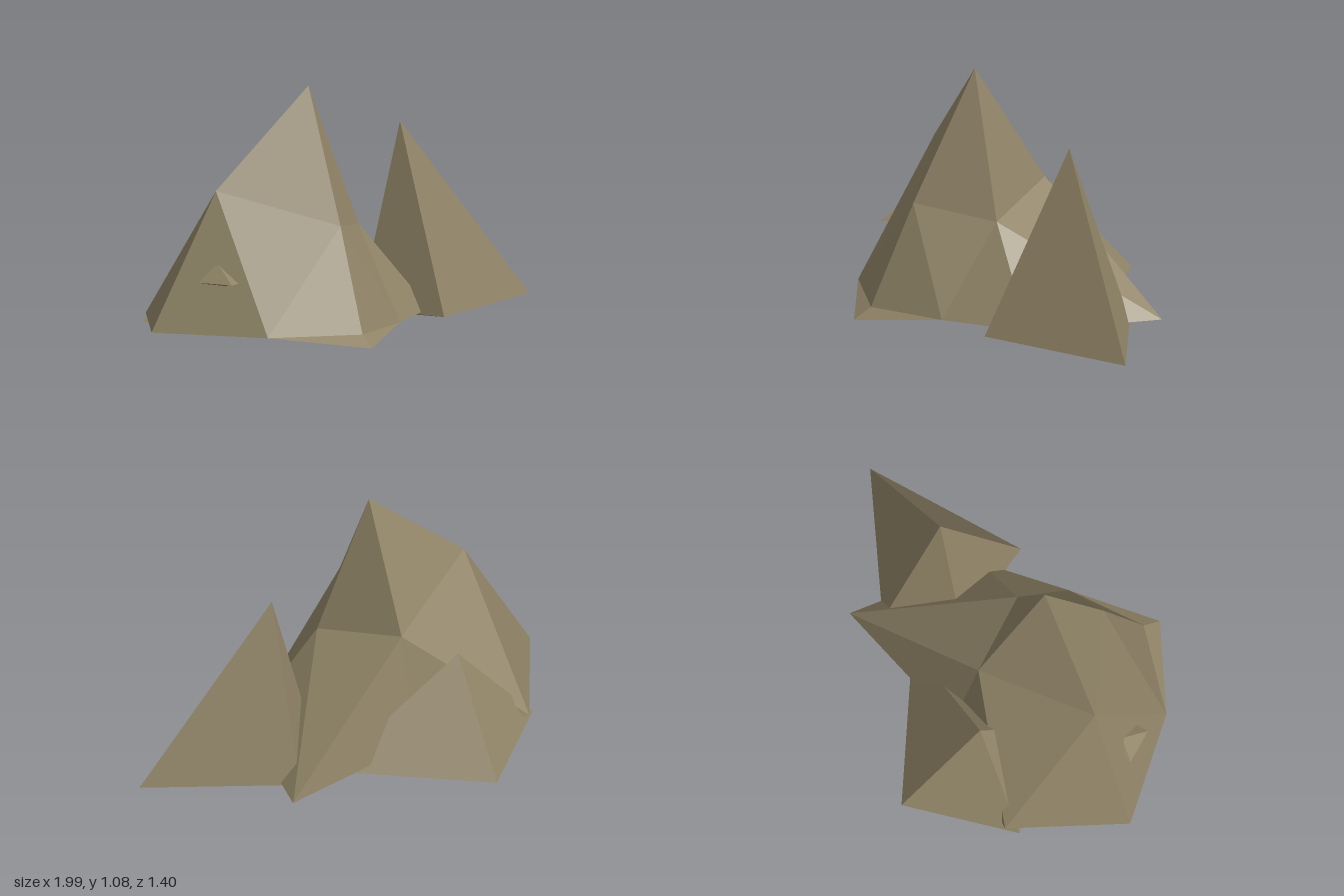
import * as THREE from 'three';

const stone = new THREE.MeshStandardMaterial({ color: 0x8f8366, flatShading: true });
stone.name = 'stone';

// Faceted solid from named corners; faces are wound away from an inner point
function facetedRock(name, corners, faces, inner) {
  const centre = new THREE.Vector3(...inner);
  const positions = [];
  for (const face of faces) {
    const [a, b, c] = face.split(' ').map((key) => new THREE.Vector3(...corners[key]));
    const normal = b.clone().sub(a).cross(c.clone().sub(a));
    const outward = a.clone().add(b).add(c).divideScalar(3).sub(centre);
    const ordered = normal.dot(outward) < 0 ? [a, c, b] : [a, b, c];
    for (const p of ordered) positions.push(p.x, p.y, p.z);
  }
  const geometry = new THREE.BufferGeometry();
  geometry.setAttribute('position', new THREE.Float32BufferAttribute(positions, 3));
  geometry.computeVertexNormals();
  const mesh = new THREE.Mesh(geometry, stone);
  mesh.name = name;
  return mesh;
}

// Triangles joining a closed ring of corners to one point
const fan = (ring, point) => ring.map((key, i) => `${key} ${ring[(i + 1) % ring.length]} ${point}`);

// Four-sided shard: a peak, a base ring and a shallow point underneath
function shard(name, peak, left, front, right, back, under) {
  const ring = ['left', 'front', 'right', 'back'];
  const inner = [peak[0], (peak[1] + left[1] * 2) / 3, (front[2] + back[2]) / 2];
  return facetedRock(name, { peak, left, front, right, back, under },
    [...fan(ring, 'peak'), ...fan(ring, 'under')], inner);
}

export function createModel() {
  const group = new THREE.Group();
  group.name = 'rockCluster';

  // Large boulder with broken shoulders, a front toe and a back spur
  const corners = {
    peak: [-0.22, 1.08, 0.13],
    shoulderL: [-0.68, 0.65, 0.13],
    shoulderF: [-0.22, 0.5, 0.42],
    shoulderR: [0.03, 0.45, 0.13],
    shoulderB: [-0.22, 0.55, -0.2],
    left: [-1, 0.05, 0.13],
    frontL: [-0.63, 0.05, 0.51],
    front: [-0.22, 0.05, 0.62],
    toe: [-0.22, 0, 0.7],
    frontR: [0.08, 0.05, 0.41],
    right: [0.38, 0.05, 0.13],
    spur: [0.44, 0.05, -0.48],
    back: [-0.22, 0.05, -0.33],
    backL: [-0.76, 0.05, -0.36],
    under: [-0.22, 0, 0.13],
  };
  const faces = [
    ...fan(['shoulderL', 'shoulderF', 'shoulderR', 'shoulderB'], 'peak'),
    'shoulderL left frontL', 'shoulderL frontL shoulderF', 'shoulderF frontL front',
    'shoulderF front frontR', 'shoulderF frontR shoulderR', 'frontL front toe', 'front frontR toe',
    'shoulderR frontR right', 'shoulderR right spur', 'shoulderR spur shoulderB',
    'shoulderB spur back', 'shoulderB back backL', 'shoulderB backL shoulderL',
    'shoulderL backL left',
    ...fan(['left', 'frontL', 'toe', 'frontR', 'right', 'spur', 'back', 'backL'], 'under'),
  ];
  group.add(facetedRock('mainBoulder', corners, faces, [-0.22, 0.2, 0.1]));

  // Smaller shards around the boulder
  group.add(
    shard('sideShard', [0.35, 0.85, -0.08], [0.15, 0.04, -0.08], [0.35, 0.04, 0.32],
      [0.99, 0.04, -0.08], [0.35, 0.04, -0.365], [0.35, 0, -0.08]),
    shard('backShard', [-0.44, 0.46, -0.31], [-0.8, 0.02, -0.31], [-0.44, 0.02, 0.05],
      [0.18, 0.02, -0.31], [-0.44, 0.02, -0.7], [-0.44, 0, -0.31]),
    shard('chip', [-0.73, 0.35, 0.235], [-0.82, 0.27, 0.23], [-0.73, 0.27, 0.365],
      [-0.5, 0.27, 0.23], [-0.73, 0.27, 0.12], [-0.73, 0.25, 0.24]),
  );
  return group;
}
